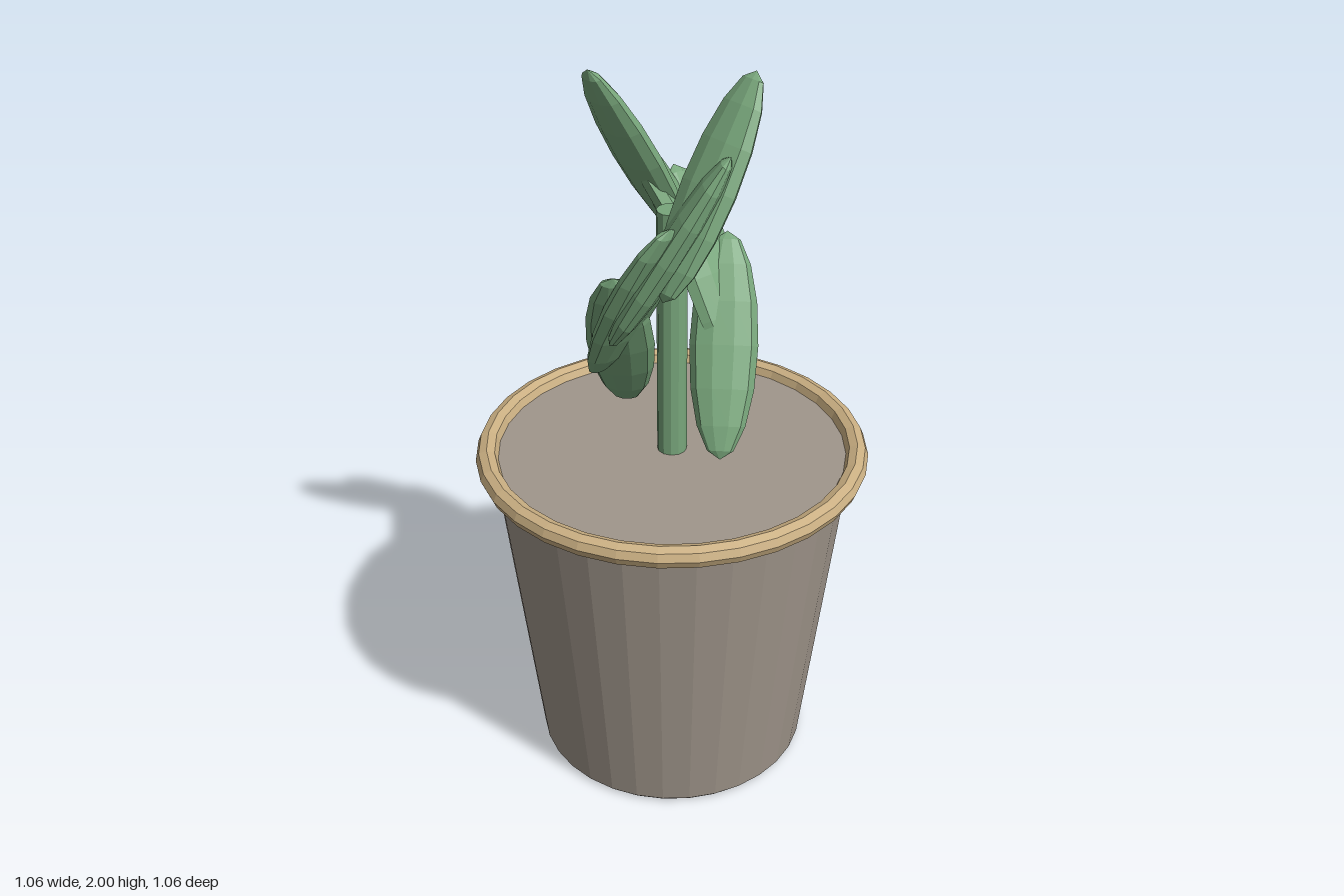
import * as THREE from 'three';

const material = (name, color) => {
  const m = new THREE.MeshStandardMaterial({ color, flatShading: true });
  m.name = name;
  return m;
};

export function createModel() {
  const clay = material('clay', 0xa0968b);
  const rimTan = material('rim tan', 0xcbb083);
  const soilBrown = material('soil brown', 0x6b5747);
  const green = material('leaf green', 0x78a67b);

  const model = new THREE.Group();
  model.name = 'pottedPlant';

  function add(name, geometry, mat, x = 0, y = 0, z = 0, parent = model) {
    const mesh = new THREE.Mesh(geometry, mat);
    mesh.name = name;
    mesh.position.set(x, y, z);
    parent.add(mesh);
    return mesh;
  }

  // Tapered pot with a small bottom bevel and a closed top
  const profile = [[0, 0], [0.372, 0], [0.381, 0.01], [0.485, 0.94], [0, 0.94]]
    .map(([r, y]) => new THREE.Vector2(r, y));
  add('pot', new THREE.LatheGeometry(profile, 32), clay);

  // Soil filling just under the pot's top surface
  add('soil', new THREE.CylinderGeometry(0.46, 0.45, 0.08, 32), soilBrown, 0, 0.896, 0);

  // Rounded rim
  const rim = new THREE.TorusGeometry(0.5, 0.03, 8, 32);
  rim.rotateX(Math.PI / 2);
  add('rim', rim, rimTan, 0, 0.94, 0);

  // Upright stem
  add('stem', new THREE.CylinderGeometry(0.04, 0.04, 0.74, 12), green, 0, 1.27, 0);

  // Four pairs of tilted leaves spiralling up the stem
  const leafShape = new THREE.SphereGeometry(1, 10, 8);
  leafShape.scale(0.09, 0.298, 0.04);
  for (let level = 0; level < 4; level++) {
    for (const side of [0, 1]) {
      const holder = new THREE.Group();
      holder.name = `leafHolder${level * 2 + side + 1}`;
      holder.rotation.y = level * Math.PI / 4 + side * Math.PI;
      model.add(holder);
      const leaf = add('leaf', leafShape, green, 0.135, 1.26 + level * 0.16, 0, holder);
      leaf.rotation.x = -Math.PI / 6;
    }
  }
  return model;
}
